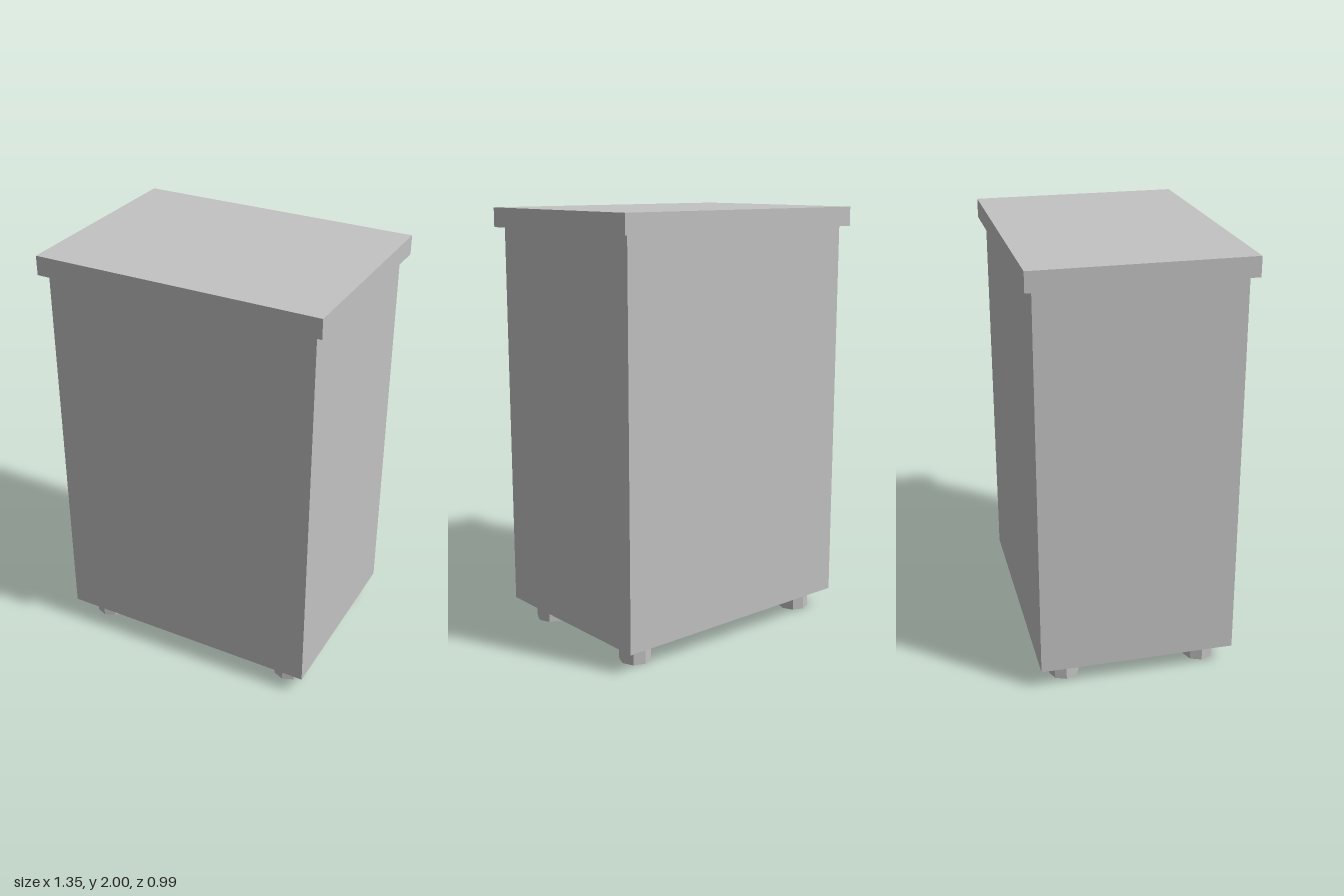
import * as THREE from 'three';

export function createModel() {
  const group = new THREE.Group();
  const grey = new THREE.MeshStandardMaterial({ color: 0xc2c2c2, flatShading: true });
  grey.name = 'light grey';

  const add = (name, geometry, x, y, z) => {
    const mesh = new THREE.Mesh(geometry, grey);
    mesh.name = name;
    mesh.position.set(x, y, z);
    group.add(mesh);
  };

  // Cabinet body and overhanging top slab
  add('body', new THREE.BoxGeometry(1.278, 1.815, 0.918), 0, 1.0025, 0);
  add('top', new THREE.BoxGeometry(1.35, 0.09, 0.985), 0, 1.955, 0);

  // Four octagonal feet, one near each corner
  const footGeometry = new THREE.CylinderGeometry(0.073, 0.073, 0.095, 8);
  for (const [side, sx] of [['Left', 1], ['Right', -1]]) {
    for (const [end, sz] of [['front', 1], ['back', -1]]) {
      add(`${end}${side}Foot`, footGeometry, sx * 0.513, 0.0475, sz * 0.331);
    }
  }
  return group;
}
